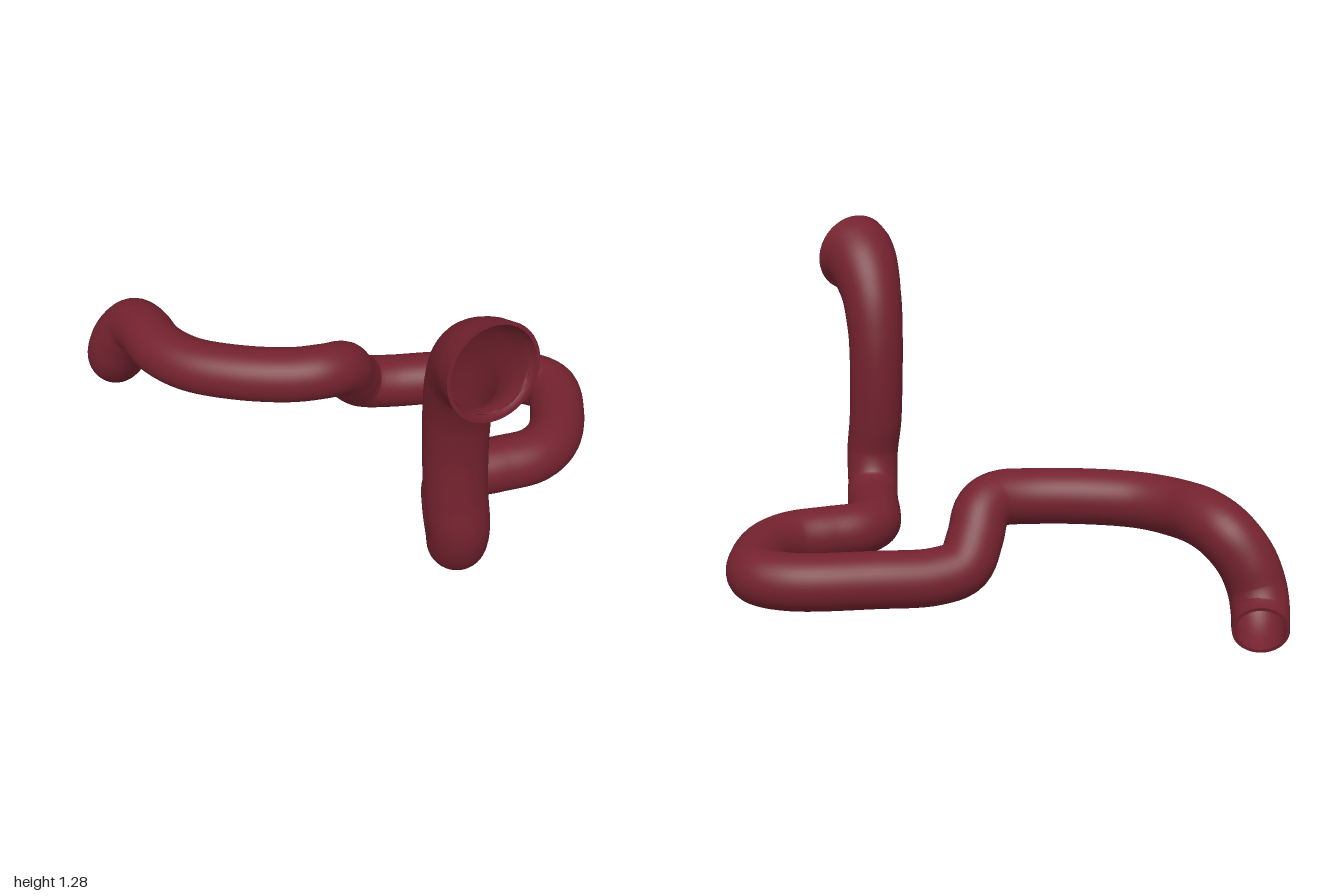
import * as THREE from 'three';

// Centreline points: x, y, z, outer radius (wide mouth first, narrow outlet last)
const PATH = [
  [-0.14, 1.14, 0.975, 0.156],
  [-0.14, 1.134, 0.945, 0.150],
  [-0.132, 1.095, 0.875, 0.136],
  [-0.12, 1.0, 0.797, 0.117],
  [-0.11, 0.85, 0.75, 0.107],
  [-0.105, 0.68, 0.74, 0.104],
  [-0.105, 0.5, 0.752, 0.104],
  [-0.1, 0.36, 0.772, 0.102],
  [-0.08, 0.25, 0.735, 0.1],
  [-0.04, 0.2, 0.665, 0.1],
  [0.03, 0.19, 0.52, 0.1],
  [0.08, 0.19, 0.44, 0.1],
  [0.16, 0.19, 0.408, 0.1],
  [0.28, 0.19, 0.43, 0.1],
  [0.42, 0.19, 0.452, 0.1],
  [0.53, 0.19, 0.41, 0.1],
  [0.63, 0.19, 0.3, 0.1],
  [0.69, 0.195, 0.16, 0.1],
  [0.62, 0.195, 0.05, 0.1],
  [0.36, 0.195, -0.09, 0.1],
  [0.17, 0.195, -0.17, 0.1],
  [0.07, 0.22, -0.19, 0.1],
  [0, 0.3, -0.155, 0.1],
  [-0.055, 0.38, -0.115, 0.1],
  [-0.13, 0.405, -0.1, 0.1],
  [-0.25, 0.405, -0.14, 0.1],
  [-0.42, 0.405, -0.25, 0.1],
  [-0.55, 0.405, -0.38, 0.1],
  [-0.61, 0.405, -0.52, 0.102],
  [-0.618, 0.405, -0.65, 0.103],
  [-0.63, 0.375, -0.745, 0.103],
  [-0.668, 0.295, -0.808, 0.102],
  [-0.69, 0.2, -0.845, 0.1],
  [-0.672, 0.135, -0.885, 0.098],
  [-0.638, 0.108, -0.924, 0.096],
  [-0.62, 0.1, -0.946, 0.095],
];
const STEPS = 240;
const SIDES = 40;
const WALL = 0.012;

// Skin a list of rings (each SIDES + 1 points), optionally turned inside out
function skin(rings, inward = false) {
  const pos = [], index = [], row = SIDES + 1;
  rings.forEach((ring) => ring.forEach((p) => pos.push(p.x, p.y, p.z)));
  for (let i = 0; i < rings.length - 1; i++) {
    for (let j = 0; j < SIDES; j++) {
      const a = i * row + j, b = a + 1, c = a + row, d = c + 1;
      if (inward) index.push(a, c, b, b, c, d);
      else index.push(a, b, c, b, d, c);
    }
  }
  const geo = new THREE.BufferGeometry();
  geo.setAttribute('position', new THREE.Float32BufferAttribute(pos, 3));
  geo.setIndex(index);
  geo.computeVertexNormals();
  // Average the normals across the seam
  const n = geo.attributes.normal;
  for (let i = 0; i < rings.length; i++) {
    const a = i * row, b = a + SIDES;
    const v = new THREE.Vector3().fromBufferAttribute(n, a)
      .add(new THREE.Vector3().fromBufferAttribute(n, b)).normalize();
    n.setXYZ(a, v.x, v.y, v.z);
    n.setXYZ(b, v.x, v.y, v.z);
  }
  return geo;
}

export function createModel() {
  const group = new THREE.Group();
  group.name = 'bentPipe';
  const red = new THREE.MeshStandardMaterial({ color: 0x73222e });
  red.name = 'dark red';

  const curve = new THREE.CatmullRomCurve3(PATH.map(([x, y, z]) => new THREE.Vector3(x, y, z)));
  const frames = curve.computeFrenetFrames(STEPS, false);

  // Outer radius along the path, blended between the path points
  const radiusAt = (u) => {
    const s = curve.getUtoTmapping(u) * (PATH.length - 1);
    const i = Math.min(Math.floor(s), PATH.length - 2);
    return THREE.MathUtils.lerp(PATH[i][3], PATH[i + 1][3], s - i);
  };

  const ringAt = (i, inset) => {
    const centre = curve.getPointAt(i / STEPS);
    const r = radiusAt(i / STEPS) - inset;
    return Array.from({ length: SIDES + 1 }, (_, j) => {
      const a = (j / SIDES) * Math.PI * 2;
      return centre.clone()
        .addScaledVector(frames.normals[i], r * Math.cos(a))
        .addScaledVector(frames.binormals[i], r * Math.sin(a));
    });
  };

  const outer = [], inner = [];
  for (let i = 0; i <= STEPS; i++) {
    outer.push(ringAt(i, 0));
    inner.push(ringAt(i, WALL));
  }

  const add = (name, geo) => {
    const mesh = new THREE.Mesh(geo, red);
    mesh.name = name;
    group.add(mesh);
  };
  add('pipeOuterWall', skin(outer));
  add('pipeInnerWall', skin(inner, true));
  // Flat rims closing the wall at both open ends
  add('mouthRim', skin([inner[0], outer[0]]));
  add('outletRim', skin([outer[STEPS], inner[STEPS]]));

  return group;
}
